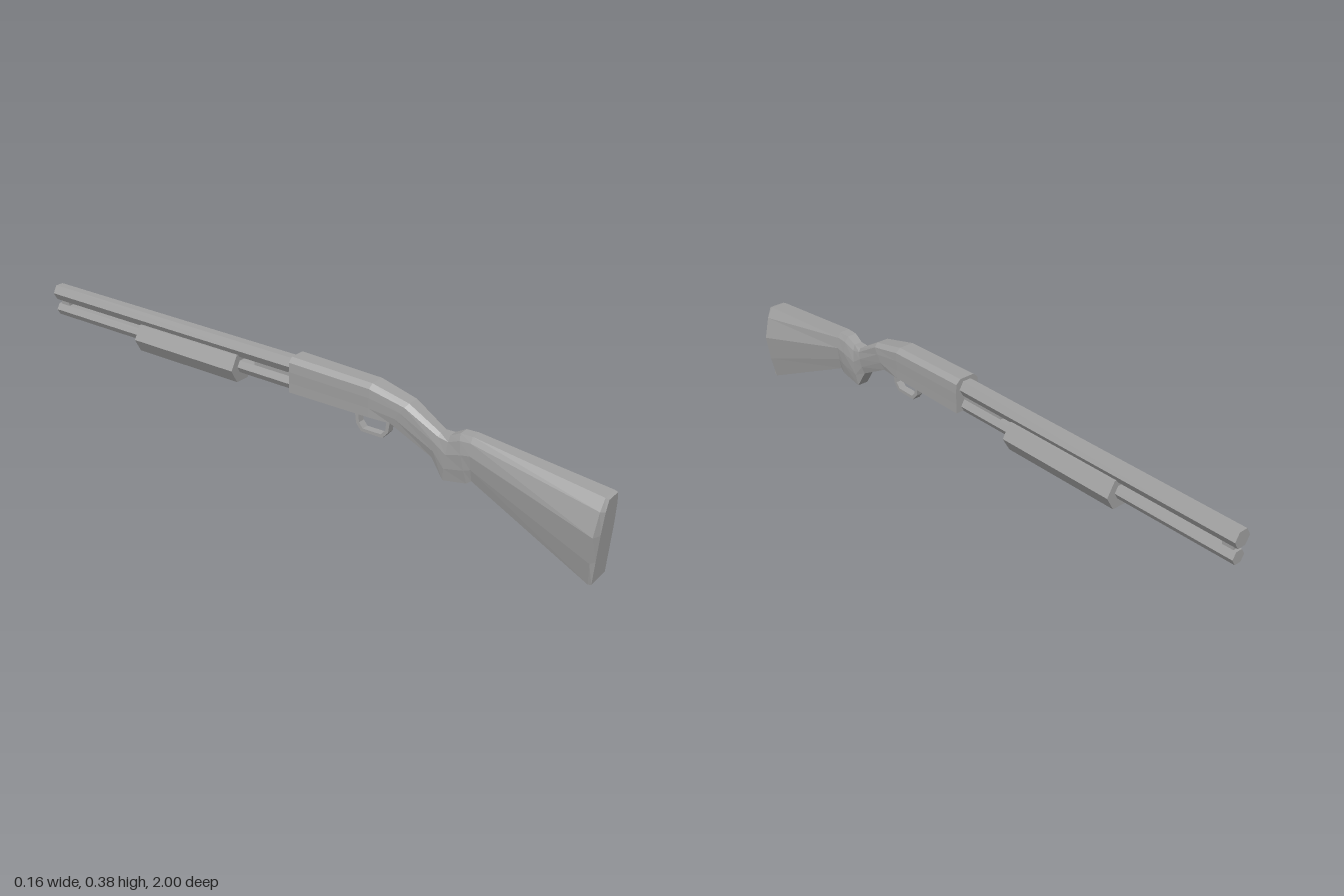
import * as THREE from 'three';

const grey = new THREE.MeshStandardMaterial({ color: 0xa0a0a0, flatShading: true });
grey.name = 'grey';

// Heights of the five corner pairs of every body section, as fractions
const LEVELS = [0, 0.28, 0.6, 0.87, 1];

// Skin over mirrored sections: [zBottom, yBottom, zTop, yTop, half widths from bottom to top]
function loft(sections) {
  const rings = sections.map(([zb, yb, zt, yt, widths]) => {
    const side = LEVELS.map((t, i) => [widths[i], yb + (yt - yb) * t, zb + (zt - zb) * t]);
    return [...side, ...side.map(([x, y, z]) => [-x, y, z]).reverse()];
  });
  const n = LEVELS.length * 2;
  const index = [];
  for (let i = 0; i < rings.length - 1; i++) {
    for (let j = 0; j < n; j++) {
      const a = i * n + j, b = i * n + (j + 1) % n;
      index.push(a, b, b + n, a, b + n, a + n);
    }
  }
  const last = (rings.length - 1) * n;
  for (let j = 1; j < n - 1; j++) {
    index.push(0, j + 1, j, last, last + j, last + j + 1);
  }
  const geo = new THREE.BufferGeometry();
  geo.setAttribute('position', new THREE.Float32BufferAttribute(rings.flat(2), 3));
  geo.setIndex(index);
  const flat = geo.toNonIndexed();
  flat.computeVertexNormals();
  return flat;
}

// Six-sided rod along z with its corners pointing sideways, rising slightly to the muzzle
function rod(radius, zStart, zEnd, yAtZero) {
  const geo = new THREE.CylinderGeometry(radius, radius, zStart - zEnd, 6, 1, false, Math.PI / 2);
  geo.rotateX(Math.PI / 2 + 0.01);
  const mid = (zStart + zEnd) / 2;
  return geo.translate(0, yAtZero - mid * 0.01, mid);
}

function box(w, h, d, y, z) {
  return new THREE.BoxGeometry(w, h, d).translate(0, y, z);
}

// Bent strap drawn in (z, y) and extruded across x
function strap(outer, inner, width) {
  const shape = new THREE.Shape([...outer, ...inner.reverse()].map(([z, y]) => new THREE.Vector2(-z, y)));
  const geo = new THREE.ExtrudeGeometry(shape, { depth: width, bevelEnabled: false });
  return geo.translate(0, 0, -width / 2).rotateY(Math.PI / 2);
}

export function createModel() {
  const body = new THREE.Group();
  const add = (name, geo) => {
    const mesh = new THREE.Mesh(geo, grey);
    mesh.name = name;
    body.add(mesh);
  };

  // Receiver, wrist, grip and butt in one skin
  add('receiverAndStock', loft([
    [0, 0.277, 0, 0.385, [0.04, 0.04, 0.041, 0.04, 0.025]],
    [0.28, 0.277, 0.28, 0.376, [0.04, 0.04, 0.041, 0.04, 0.024]],
    [0.35, 0.276, 0.4, 0.346, [0.034, 0.037, 0.037, 0.035, 0.02]],
    [0.477, 0.205, 0.5, 0.285, [0.018, 0.024, 0.026, 0.022, 0.014]],
    [0.515, 0.146, 0.53, 0.286, [0.018, 0.024, 0.026, 0.021, 0.014]],
    [0.59, 0.16, 0.562, 0.303, [0.018, 0.026, 0.03, 0.025, 0.016]],
    [0.605, 0.172, 0.6, 0.304, [0.018, 0.026, 0.031, 0.026, 0.017]],
    [0.975, 0, 0.99, 0.255, [0.04, 0.055, 0.065, 0.047, 0.027]],
    [0.985, 0.003, 1, 0.252, [0.04, 0.04, 0.04, 0.035, 0.026]],
  ]));

  // Barrel, magazine tube and sliding fore-end
  add('barrel', rod(0.028, 0.01, -1, 0.35));
  add('magazineTube', rod(0.022, 0.01, -0.995, 0.293));
  add('foreEnd', rod(0.05, -0.21, -0.61, 0.289));

  // Links between barrel and tube
  add('rearLink', box(0.018, 0.03, 0.16, 0.323, -0.075));
  add('frontBand', box(0.018, 0.03, 0.035, 0.329, -0.967));

  // Trigger guard
  add('triggerGuard', strap(
    [[0.336, 0.282], [0.329, 0.232], [0.31, 0.211], [0.238, 0.211], [0.22, 0.232], [0.213, 0.282]],
    [[0.325, 0.282], [0.319, 0.237], [0.305, 0.221], [0.243, 0.221], [0.23, 0.237], [0.224, 0.282]],
    0.024));

  // Slight turn off the centre line
  body.name = 'shotgun';
  body.rotation.y = -0.0255;
  body.position.x = 0.012;
  const group = new THREE.Group();
  group.add(body);
  return group;
}
